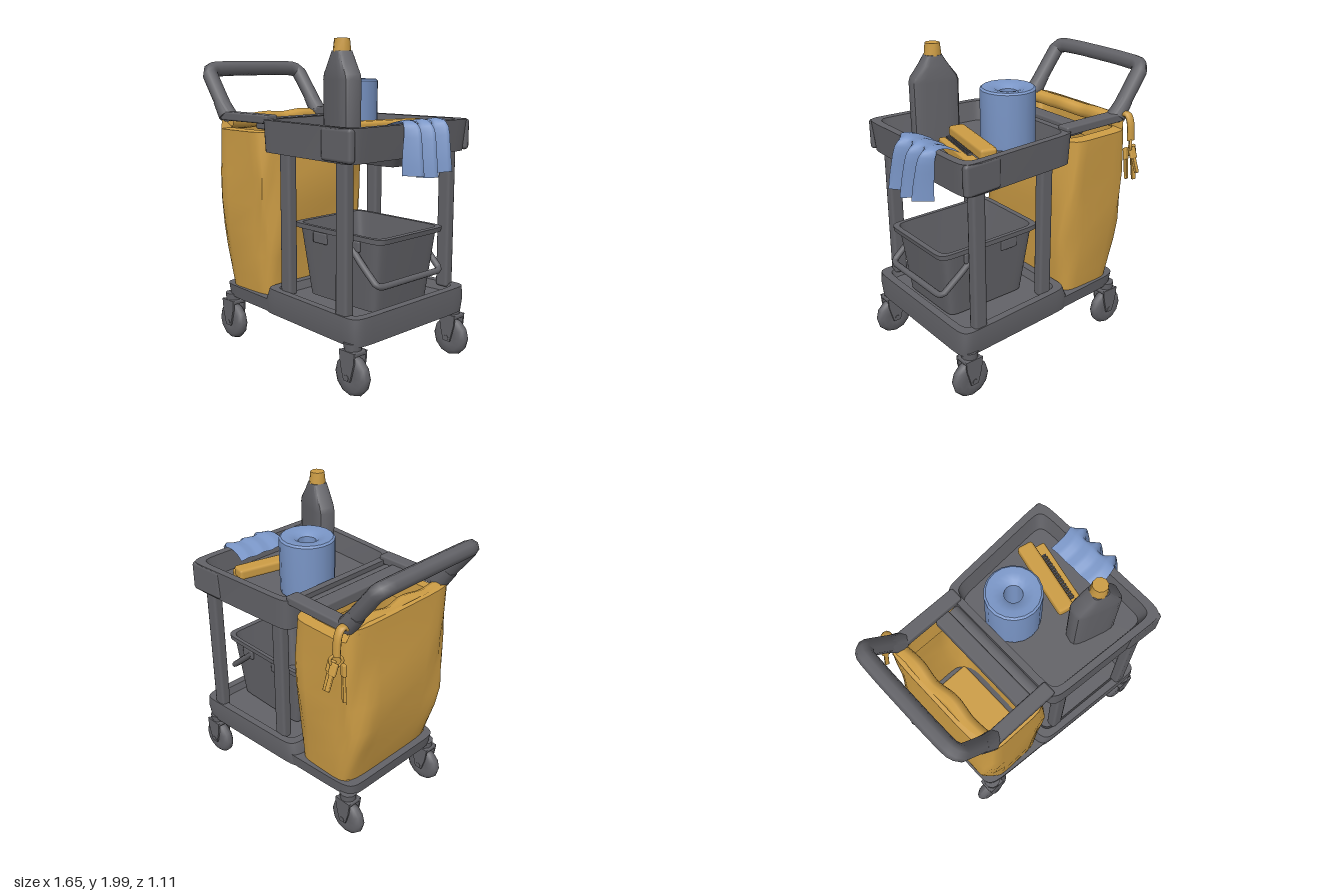
import * as THREE from 'three';
import { toCreasedNormals } from 'three/addons/utils/BufferGeometryUtils.js';
import { RoundedBoxGeometry } from 'three/addons/geometries/RoundedBoxGeometry.js';

const CZ = 0.03; // centre line of the cart in z

export function createModel() {
  const root = new THREE.Group();
  root.name = 'cleaningCart';
  const mat = (name, color) => {
    const m = new THREE.MeshStandardMaterial({ color, side: THREE.DoubleSide });
    m.name = name;
    return m;
  };
  const grey = mat('grey plastic', 0x636368);
  const yellow = mat('yellow fabric', 0xcd9d45);
  const blue = mat('light blue', 0x7a96c7);

  const add = (name, geo, material, parent = root) => {
    const m = new THREE.Mesh(geo, material);
    m.name = name;
    parent.add(m);
    return m;
  };
  const box = (name, w, h, d, x, y, z, material = grey, parent = root, r = 0.012) => {
    const m = add(name, new RoundedBoxGeometry(w, h, d, 1, r), material, parent);
    m.position.set(x, y, z);
    return m;
  };
  const tube = (name, pts, r, material = grey, parent = root, tension = 0.15, segs = 48) => {
    const curve = new THREE.CatmullRomCurve3(pts.map(p => new THREE.Vector3(...p)), false, 'catmullrom', tension);
    return add(name, new THREE.TubeGeometry(curve, segs, r, 8), material, parent);
  };

  // Rounded-rectangle rings [y, x0, x1, z0, z1] joined from bottom to top
  function loft(rings, { n = 32, e = 0.2, taper = 0, end = true, warp = null, crease = 0.6 } = {}) {
    const mid = ([y, x0, x1, z0, z1]) => [y, (x0 + x1) / 2, (x0 + x1) / 2, (z0 + z1) / 2, (z0 + z1) / 2];
    const all = [mid(rings[0]), ...rings];
    if (end) all.push(mid(rings[rings.length - 1]));
    const pos = [], idx = [];
    const pw = v => Math.sign(v) * Math.pow(Math.abs(v), e);
    all.forEach(([y, x0, x1, z0, z1], i) => {
      for (let j = 0; j < n; j++) {
        const a = (j + 0.5) / n * Math.PI * 2;
        const p = new THREE.Vector3(
          (x0 + x1) / 2 + (x1 - x0) / 2 * pw(Math.cos(a)), y,
          (z0 + z1) / 2 + (z1 - z0) / 2 * pw(Math.sin(a)));
        p.z = CZ + (p.z - CZ) * (1 + taper * p.x);
        if (warp) warp(p, a);
        pos.push(p.x, p.y, p.z);
        if (i < all.length - 1) {
          const k = i * n + j, k2 = i * n + (j + 1) % n;
          idx.push(k, k + n, k2, k2, k + n, k2 + n);
        }
      }
    });
    const g = new THREE.BufferGeometry();
    g.setAttribute('position', new THREE.Float32BufferAttribute(pos, 3));
    g.setIndex(idx);
    return toCreasedNormals(g, crease);
  }
  const ring = (y, x0, x1, h) => [y, x0, x1, CZ - h, CZ + h];

  // Base platform and its raised tray
  add('basePlatform', loft([ring(0.316, -0.61, 0.70, 0.44), ring(0.40, -0.62, 0.71, 0.45)],
    { taper: 0.145, e: 0.14 }), grey);
  add('lowerTray', loft([ring(0.312, -0.17, 0.715, 0.448), ring(0.40, -0.16, 0.72, 0.46), ring(0.475, -0.13, 0.715, 0.455),
    ring(0.475, -0.08, 0.665, 0.41), ring(0.425, -0.06, 0.65, 0.39)], { taper: 0.145, e: 0.14 }), grey);

  // Upper tray with thin walls
  add('upperTray', loft([ring(1.33, -0.135, 0.68, 0.467), ring(1.525, -0.145, 0.70, 0.475),
    ring(1.525, -0.10, 0.65, 0.432), ring(1.40, -0.085, 0.63, 0.405)], { taper: 0.145, e: 0.14 }), grey);
  add('trayUnderside', loft([[1.27, -0.04, 0.60, -0.18, 0.12], [1.34, -0.09, 0.64, -0.21, 0.15]]), grey);
  for (const s of [-1, 1]) {
    const b = box('trayCorner', 0.25, 0.192, 0.05, 0.565, 1.43, CZ + s * 0.493, grey, root, 0.022);
    b.rotation.y = -s * 0.07;
    // Posts
    box('rightPost', 0.09, 0.9, 0.07, 0.575, 0.9, CZ + s * 0.45, grey, root, 0.02);
    box('leftPost', 0.09, 0.9, 0.07, 0.022, 0.9, CZ + s * 0.38, grey, root, 0.02);
    // Arms that carry the bag
    box('bagArm', 0.47, 0.055, 0.09, -0.34, 1.523, CZ + s * 0.395);
  }
  box('bagCrossbar', 0.10, 0.07, 0.72, -0.26, 1.485, CZ);
  const trough = add('dividerTrough', new THREE.CylinderGeometry(0.045, 0.045, 0.70, 10), grey);
  trough.rotation.x = Math.PI / 2;
  trough.position.set(-0.175, 1.46, CZ);

  // Push handle
  tube('pushHandle', [[-0.53, 1.515, 0.42], [-0.60, 1.59, 0.425], [-0.75, 1.79, 0.42], [-0.775, 1.815, 0.37],
    [-0.78, 1.82, 0.2], [-0.78, 1.82, -0.14], [-0.775, 1.815, -0.31], [-0.75, 1.79, -0.36],
    [-0.60, 1.59, -0.365], [-0.53, 1.515, -0.36]], 0.05);
  for (const s of [-1, 1]) {
    const sleeve = add('handleSleeve', new THREE.CylinderGeometry(0.05, 0.058, 0.12, 10), grey);
    sleeve.position.set(-0.59, 1.57, CZ + s * 0.395);
    sleeve.rotation.z = 0.64;
  }

  // Soft bag, open at the top and folded up on the handle side
  const crumple = (p, a) => {
    const k = Math.sin((p.y - 0.43) * 3.1) * 0.012;
    p.x += k * Math.sin(a * 5 + p.y * 7);
    p.z += k * Math.sin(a * 7 - p.y * 5);
    if (p.y > 1.4 && p.x < -0.585) p.y += 0.075;
  };
  add('bag', loft([[0.385, -0.57, -0.14, -0.37, 0.43], [0.50, -0.60, -0.13, -0.38, 0.44],
    [0.65, -0.635, -0.12, -0.39, 0.45], [0.80, -0.658, -0.11, -0.40, 0.46], [0.98, -0.652, -0.11, -0.41, 0.47],
    [1.15, -0.645, -0.11, -0.415, 0.475], [1.30, -0.64, -0.125, -0.42, 0.475], [1.44, -0.635, -0.14, -0.42, 0.475],
    [1.445, -0.61, -0.16, -0.345, 0.40], [1.30, -0.60, -0.16, -0.335, 0.39]],
  { end: false, warp: crumple, crease: 0.9, e: 0.33 }), yellow);
  box('bagFloor', 0.40, 0.04, 0.74, -0.355, 0.395, CZ, yellow);
  tube('bagFoldedRim', [[-0.575, 1.485, -0.35], [-0.565, 1.495, -0.2], [-0.58, 1.48, -0.05], [-0.56, 1.49, 0.1],
    [-0.575, 1.48, 0.25], [-0.565, 1.485, 0.41]], 0.048, yellow, root, 0.5);

  // Bucket with rim and swing handle
  add('bucket', loft([[0.44, 0.06, 0.62, -0.20, 0.28], [0.855, 0.0, 0.67, -0.235, 0.315],
    [0.86, -0.035, 0.705, -0.25, 0.33], [0.89, -0.035, 0.71, -0.25, 0.33], [0.89, 0.0, 0.675, -0.225, 0.305],
    [0.46, 0.08, 0.60, -0.18, 0.26]], { e: 0.16 }), grey);
  tube('bucketHandle', [[0.46, 0.83, 0.325], [0.56, 0.74, 0.335], [0.68, 0.635, 0.335], [0.70, 0.62, 0.30],
    [0.70, 0.62, 0.04], [0.70, 0.62, -0.19], [0.68, 0.635, -0.222], [0.56, 0.74, -0.235], [0.46, 0.83, -0.24]], 0.02);
  for (const z of [-0.24, 0.32]) {
    box('bucketLug', 0.10, 0.07, 0.025, 0.49, 0.825, z);
    box('bucketClip', 0.12, 0.07, 0.02, 0.20, 0.82, z > 0 ? 0.312 : -0.232);
  }

  // Bottle with cap
  const bottle = new THREE.Group();
  bottle.name = 'bottle';
  bottle.position.set(0.362, 0, 0.292);
  bottle.rotation.y = -0.28;
  root.add(bottle);
  const sq = (y, x, z) => [y, -x, x, -z, z];
  add('bottleBody', loft([sq(1.39, 0.148, 0.064), sq(1.77, 0.15, 0.066), sq(1.80, 0.14, 0.066),
    sq(1.87, 0.087, 0.06), sq(1.93, 0.05, 0.05)], { n: 16, e: 0.5 }), grey, bottle);
  const cap = add('bottleCap', toCreasedNormals(new THREE.CylinderGeometry(0.045, 0.053, 0.075, 10), 0.7), yellow, bottle);
  cap.position.y = 1.9625;

  // Paper roll
  const profile = [[0.055, 1.41], [0.168, 1.41], [0.17, 1.44], [0.17, 1.75], [0.158, 1.761], [0.12, 1.759],
    [0.08, 1.75], [0.055, 1.73], [0.055, 1.41]].map(p => new THREE.Vector2(...p));
  const roll = add('paperRoll', toCreasedNormals(new THREE.LatheGeometry(profile, 18), 0.7), blue);
  roll.position.set(0.075, 0, -0.07);

  // Hand brush lying in the tray
  const brush = new THREE.Group();
  brush.name = 'brush';
  brush.position.set(0.365, 1.40, -0.1);
  brush.rotation.y = -0.22;
  root.add(brush);
  box('brushBlock', 0.105, 0.07, 0.50, 0, 0.085, 0, yellow, brush, 0.02);
  box('brushBase', 0.075, 0.06, 0.45, 0.09, 0.03, 0.0, yellow, brush);
  for (let i = 0; i < 18; i++)
    box('bristleTuft', 0.03, 0.07, 0.012, 0.075, 0.04, -0.14 + i * 0.019, grey, brush, 0.003);

  // Cloth draped over the tray edge, with pleats growing toward the hem
  const drape = new THREE.CatmullRomCurve3([[0.53, 1.49], [0.60, 1.525], [0.655, 1.54], [0.70, 1.54], [0.738, 1.50],
    [0.755, 1.38], [0.768, 1.23]].map(([x, y]) => new THREE.Vector3(x, y, 0)));
  const cloth = new THREE.PlaneGeometry(1, 1, 30, 16);
  const cp = cloth.attributes.position;
  for (let i = 0; i < cp.count; i++) {
    const v = cp.getX(i) + 0.5, u = 0.5 - cp.getY(i);
    const p = drape.getPoint(u), f = Math.sqrt(Math.max(0, (u - 0.5) * 2));
    const wave = Math.asin(-Math.cos(v * Math.PI * 6)) * 2 / Math.PI;
    cp.setXYZ(i, p.x + 0.056 * f * wave, p.y + 0.012 * f * Math.cos(v * 7) + 0.004 * wave,
      0.155 - v * 0.375 + 0.01 * Math.sin(u * 8));
  }
  cloth.computeVertexNormals();
  add('cloth', cloth, blue);

  // Key bunch on the back arm
  const keys = new THREE.Group();
  keys.name = 'keyBunch';
  keys.position.set(-0.58, 0, -0.455);
  root.add(keys);
  const strap = tube('keyStrap', [[0, 1.53, 0.06], [0, 1.55, 0.02], [0, 1.5, -0.01], [0, 1.39, -0.02]], 0.018, yellow, keys, 0.5, 12);
  strap.scale.x = 1.6;
  const kr = add('keyRing', new THREE.TorusGeometry(0.035, 0.01, 6, 14), yellow, keys);
  kr.position.set(0, 1.36, -0.02);
  kr.rotation.y = 0.8;
  [[-0.035, 0, 0.02, 0.18], [0, -0.03, 0.36, 0.11], [0.035, -0.015, 0.15, 0.14]].forEach(([x, z, tilt, len]) => {
    const key = new THREE.Group();
    key.name = 'key';
    key.position.set(x, 1.345, z);
    key.rotation.set(tilt, x * 10, x * 3);
    keys.add(key);
    box('keyBow', 0.05, 0.075, 0.024, 0, -0.035, 0, yellow, key, 0.008);
    box('keyBlade', 0.028, len, 0.02, 0, -0.055 - len / 2, 0, yellow, key, 0.005);
  });

  // Casters
  const tread = [[0.0, -0.03], [0.05, -0.038], [0.095, -0.038], [0.118, -0.022], [0.126, 0], [0.118, 0.022],
    [0.095, 0.038], [0.05, 0.038], [0.0, 0.03]].map(p => new THREE.Vector2(...p));
  const wheelGeo = toCreasedNormals(new THREE.LatheGeometry(tread, 12), 0.75);
  const forkShape = new THREE.Shape([[-0.06, 0.285], [0.06, 0.285], [0.055, 0.22], [0.025, 0.11], [-0.025, 0.11],
    [-0.05, 0.2]].map(p => new THREE.Vector2(...p)));
  const forkGeo = new THREE.ExtrudeGeometry(forkShape, { depth: 0.012, bevelEnabled: false });
  for (const [x, h] of [[-0.565, 0.372], [0.645, 0.45]])
    for (const s of [-1, 1]) {
      const c = new THREE.Group();
      c.name = 'caster';
      c.position.set(x, 0, CZ + s * h);
      root.add(c);
      const wheel = add('wheel', wheelGeo, grey, c);
      wheel.rotation.x = Math.PI / 2;
      wheel.position.set(x < 0 ? -0.005 : 0, 0.134, 0);
      for (const z of [-0.053, 0.041]) add('fork', forkGeo, grey, c).position.z = z;
      box('forkTop', 0.12, 0.03, 0.105, 0, 0.272, 0, grey, c);
      const stem = add('stem', new THREE.CylinderGeometry(0.055, 0.05, 0.06, 10), grey, c);
      stem.position.y = 0.30;
      const axle = add('axle', new THREE.CylinderGeometry(0.018, 0.018, 0.112, 8), grey, c);
      axle.rotation.x = Math.PI / 2;
      axle.position.y = 0.13;
    }
  return root;
}
